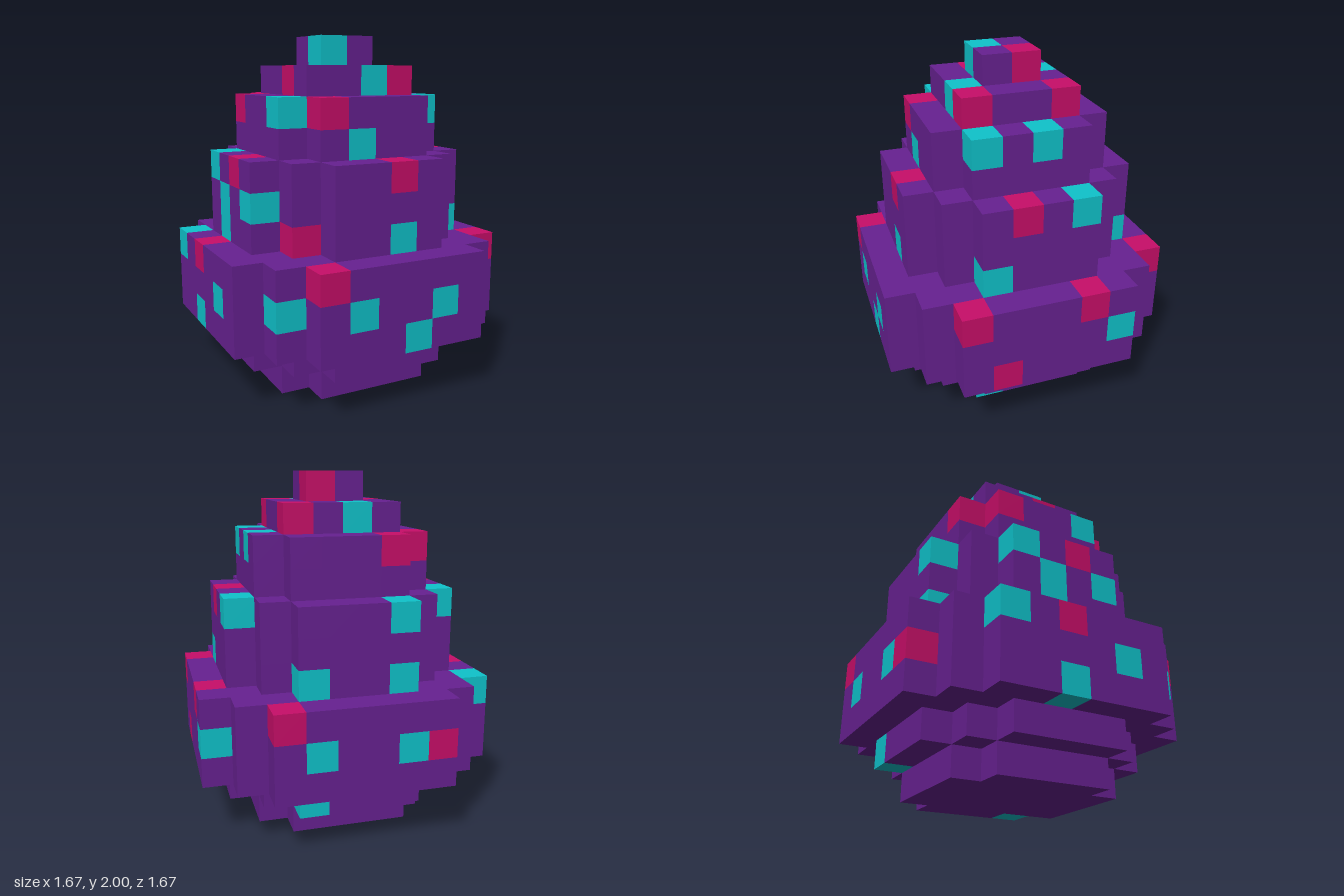
import * as THREE from 'three';
import { mergeGeometries } from 'three/addons/utils/BufferGeometryUtils.js';

const CELL = 1 / 6; // the egg is 12 blocks tall

// Each tier: first layer, layer count, and half-width of each block row going outward from the centre
const TIERS = [
  { name: 'foot', from: 0, count: 1, rows: [3, 3, 2] },
  { name: 'lowerStep', from: 1, count: 1, rows: [4, 4, 3, 2] },
  { name: 'belly', from: 2, count: 3, rows: [5, 5, 5, 4, 3] },
  { name: 'middle', from: 5, count: 3, rows: [4, 4, 3, 2] },
  { name: 'shoulder', from: 8, count: 2, rows: [3, 3, 2] },
  { name: 'crown', from: 10, count: 1, rows: [2, 2] },
  { name: 'tip', from: 11, count: 1, rows: [1] },
];

// Spot blocks per layer, as 'x,z' block indices
const CYAN = {
  0: '2,1', 1: '1,-4', 2: '0,4 -5,-1',
  3: '-4,3 -2,4 1,4 4,-3 1,-5 -2,-5 -5,1',
  4: '-5,-3', 5: '0,3 3,1 1,-4 -2,-4 -4,-1', 6: '-4,1 -4,-1',
  7: '3,-2 -2,-4 -4,-2', 8: '-1,2', 9: '-3,1 2,1 2,-1',
  10: '0,1 -1,-2', 11: '-1,0',
};
const PINK = {
  2: '4,1', 3: '-3,-5', 4: '-3,4 4,2 4,-2 2,-5 -5,-1',
  5: '-3,2', 7: '0,3 3,0 -4,0', 9: '-2,2 -2,-3 -3,-2',
  10: '1,1 1,-2 -2,0', 11: '0,-1',
};

// Face directions with the rotation that turns a +z plane towards them
const FACES = [
  { d: [0, 0, 1], rx: 0, ry: 0 },
  { d: [0, 0, -1], rx: 0, ry: Math.PI },
  { d: [1, 0, 0], rx: 0, ry: Math.PI / 2 },
  { d: [-1, 0, 0], rx: 0, ry: -Math.PI / 2 },
  { d: [0, 1, 0], rx: -Math.PI / 2, ry: 0 },
  { d: [0, -1, 0], rx: Math.PI / 2, ry: 0 },
];

const ring = (i) => (i >= 0 ? i : -i - 1); // block index to distance from centre

function isSolid(x, y, z) {
  const tier = TIERS.find((t) => y >= t.from && y < t.from + t.count);
  return !!tier && ring(z) < tier.rows.length && ring(x) < tier.rows[ring(z)];
}

function colourOf(x, y, z) {
  const has = (spots) => (spots[y] || '').split(' ').includes(`${x},${z}`);
  return has(CYAN) ? 'cyanSpots' : has(PINK) ? 'pinkSpots' : 'shell';
}

function makeFace({ d, rx, ry }, x, y, z) {
  return new THREE.PlaneGeometry(CELL, CELL)
    .rotateX(rx)
    .rotateY(ry)
    .translate(
      (x + 0.5 + d[0] / 2) * CELL,
      (y + 0.5 + d[1] / 2) * CELL,
      (z + 0.5 + d[2] / 2) * CELL
    );
}

export function createModel() {
  const materials = {
    shell: new THREE.MeshStandardMaterial({ color: 0x672191 }),
    cyanSpots: new THREE.MeshStandardMaterial({ color: 0x0fc3cb }),
    pinkSpots: new THREE.MeshStandardMaterial({ color: 0xc80e69 }),
  };
  materials.shell.name = 'purple';
  materials.cyanSpots.name = 'cyan';
  materials.pinkSpots.name = 'pink';

  const egg = new THREE.Group();
  egg.name = 'blockEgg';

  for (const tier of TIERS) {
    // Gather the exposed block faces of this tier by colour
    const parts = { shell: [], cyanSpots: [], pinkSpots: [] };
    for (let y = tier.from; y < tier.from + tier.count; y++) {
      for (let x = -5; x < 5; x++) {
        for (let z = -5; z < 5; z++) {
          if (!isSolid(x, y, z)) continue;
          const list = parts[colourOf(x, y, z)];
          for (const face of FACES) {
            const [dx, dy, dz] = face.d;
            if (!isSolid(x + dx, y + dy, z + dz)) list.push(makeFace(face, x, y, z));
          }
        }
      }
    }

    const group = new THREE.Group();
    group.name = tier.name;
    for (const [part, faces] of Object.entries(parts)) {
      if (!faces.length) continue;
      const mesh = new THREE.Mesh(mergeGeometries(faces), materials[part]);
      mesh.name = part;
      group.add(mesh);
    }
    egg.add(group);
  }
  return egg;
}
